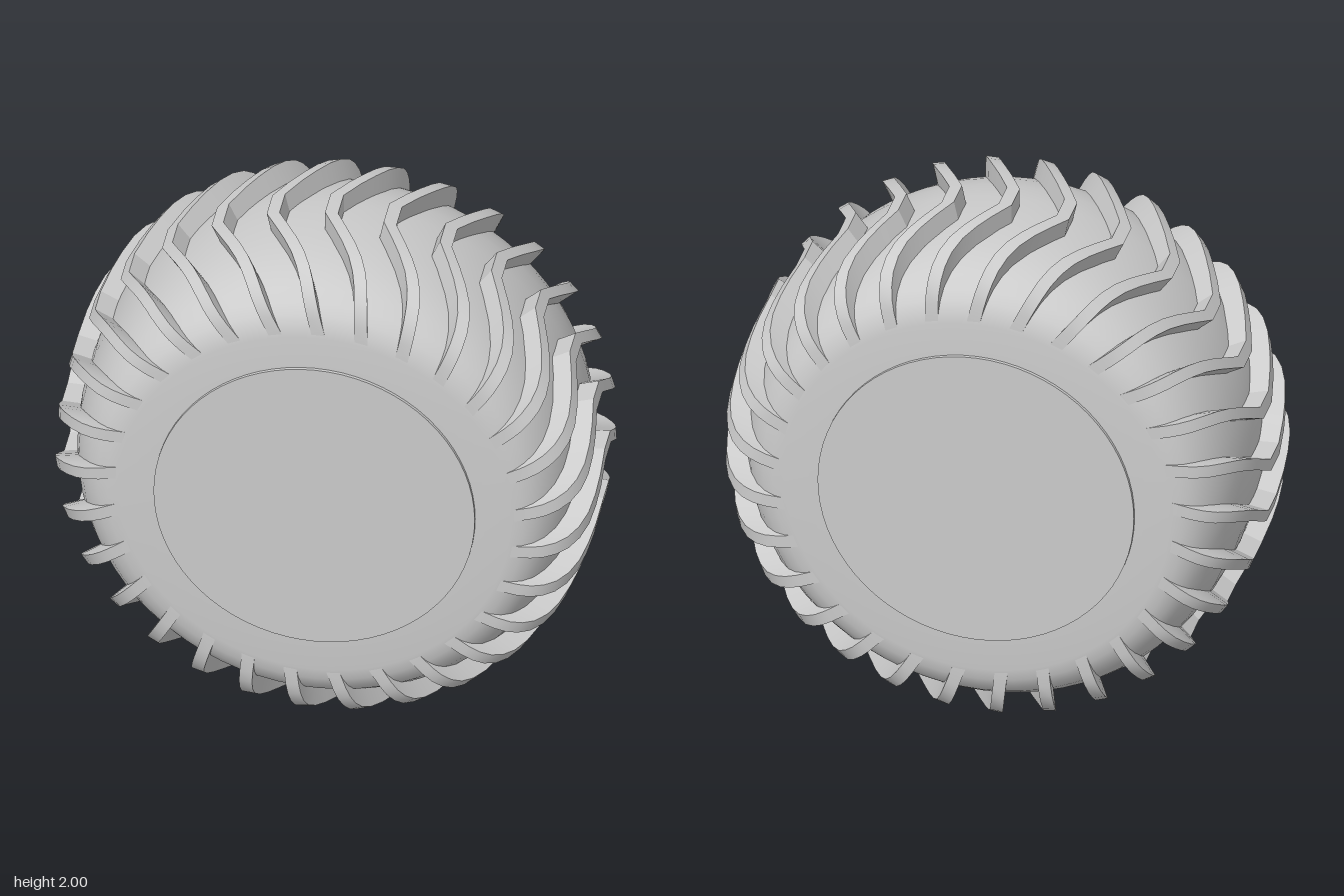
import * as THREE from 'three';
import { toCreasedNormals } from 'three/addons/utils/BufferGeometryUtils.js';

const LUGS = 29;
const material = new THREE.MeshStandardMaterial({ color: 0xcccccc, roughness: 0.8 });

// Half profiles as [distance from the middle plane, radius, sideways sweep]
const tyreHalf = [[0, 0.928], [0.12, 0.925], [0.22, 0.914], [0.3, 0.895], [0.36, 0.87], [0.41, 0.837], [0.44, 0.803], [0.458, 0.765], [0.465, 0.72]];
const lugHalf = [
  [0.06, 1.0, 0], [0.15, 0.998, 0.05], [0.22, 0.992, 0.09], [0.29, 0.98, 0.126], [0.35, 0.958, 0.15],
  [0.4, 0.926, 0.164], [0.435, 0.887, 0.17], [0.455, 0.845, 0.173], [0.463, 0.8, 0.174],
];

// Mirror a half profile across the middle plane, ordered from -z to +z
function mirror(half) {
  const back = half.filter(([z]) => z > 0).map(([z, ...rest]) => [-z, ...rest]).reverse();
  return [...back, ...half];
}

// One chevron bar: four-cornered sections swept across the tread
function lugGeometry() {
  const stations = mirror(lugHalf);
  const positions = [];
  const index = [];
  const w = 0.024;
  const bottom = 0.7;
  for (const [z, r, sweep] of stations) {
    const top = Math.sqrt(r * r - sweep * sweep);
    positions.push(sweep - w, top, z, sweep + w, top, z, sweep + w, bottom, z, sweep - w, bottom, z);
  }
  const last = (stations.length - 1) * 4;
  for (let k = 0; k < last; k += 4) {
    for (let i = 0; i < 4; i++) {
      const a = k + i, b = k + (i + 1) % 4;
      index.push(a, a + 4, b + 4, a, b + 4, b);
    }
  }
  index.push(0, 1, 2, 0, 2, 3);
  index.push(last, last + 3, last + 2, last, last + 2, last + 1);
  const geometry = new THREE.BufferGeometry();
  geometry.setAttribute('position', new THREE.Float32BufferAttribute(positions, 3));
  geometry.setIndex(index);
  return toCreasedNormals(geometry, 0.4);
}

export function createModel() {
  const model = new THREE.Group();
  model.name = 'tractorTyre';
  const wheel = new THREE.Group();
  wheel.name = 'wheel';
  wheel.position.y = 1;
  model.add(wheel);

  // Tyre body with flat sidewalls
  const profile = mirror(tyreHalf).map(([z, r]) => new THREE.Vector2(r, z));
  profile.unshift(new THREE.Vector2(0.5, -0.465));
  profile.push(new THREE.Vector2(0.5, 0.465));
  const tyre = new THREE.Mesh(toCreasedNormals(new THREE.LatheGeometry(profile, 72), 0.7), material);
  tyre.name = 'tyreBody';
  tyre.rotation.x = Math.PI / 2;
  wheel.add(tyre);

  // Hub disc, standing slightly proud of both sidewalls
  const hub = new THREE.Mesh(new THREE.CylinderGeometry(0.59, 0.59, 0.956, 72), material);
  hub.name = 'hubDisc';
  hub.rotation.x = Math.PI / 2;
  wheel.add(hub);

  // Chevron tread lugs
  const tread = new THREE.Group();
  tread.name = 'treadLugs';
  const geometry = lugGeometry();
  for (let i = 0; i < LUGS; i++) {
    const lug = new THREE.Mesh(geometry, material);
    lug.name = 'treadLug';
    lug.rotation.z = THREE.MathUtils.degToRad(3.5 - 90) + (i / LUGS) * Math.PI * 2;
    tread.add(lug);
  }
  wheel.add(tread);
  return model;
}
